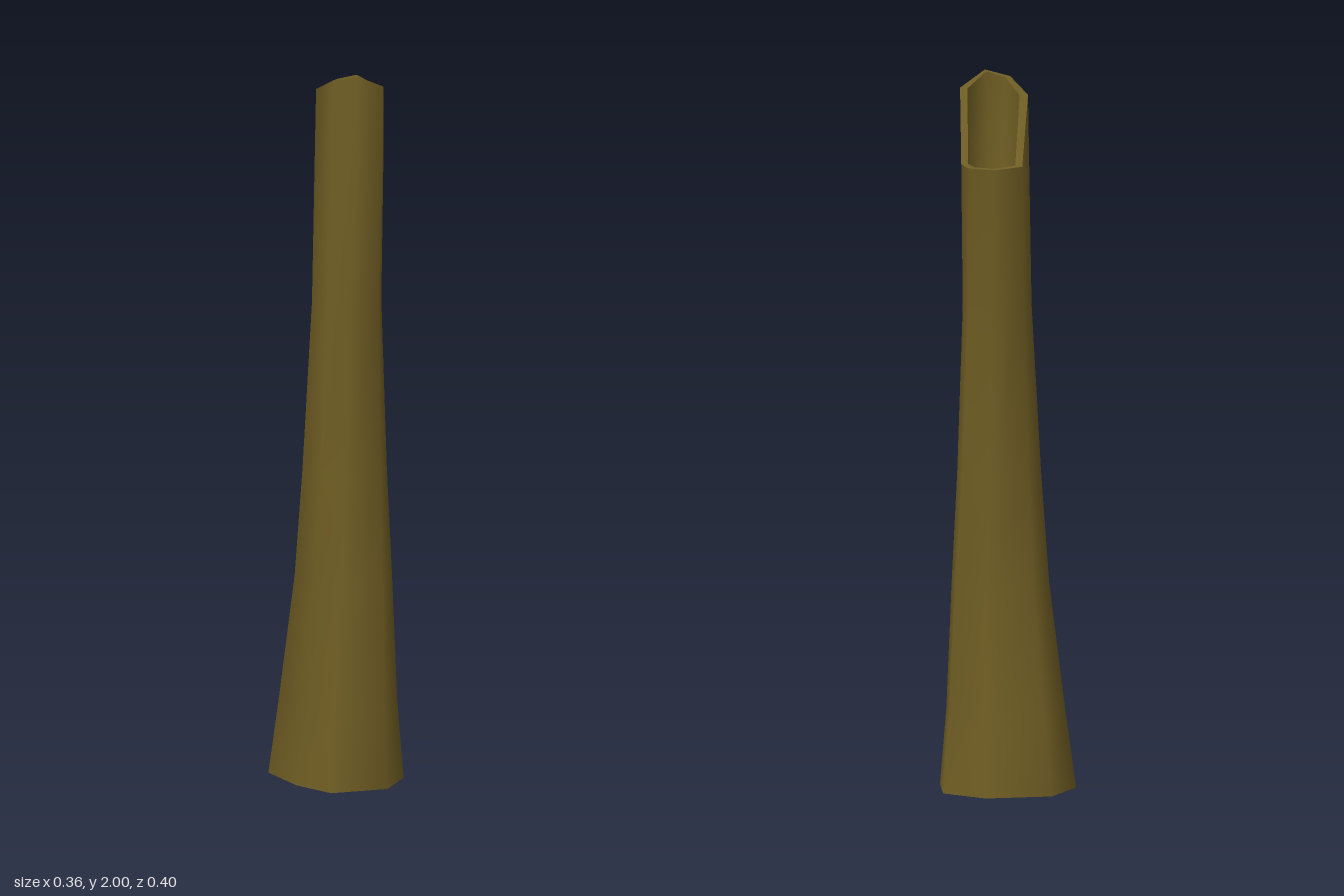
import * as THREE from 'three';

// Eight-sided cross-sections as [x, z]
const BASE = [[-0.03, -0.2], [0.13, -0.11], [0.18, 0.017], [0.11, 0.12], [0, 0.198], [-0.155, 0.148], [-0.18, 0.017], [-0.157, -0.147]];
const TIP = [[0, -0.107], [0.09, -0.097], [0.13, -0.035], [0.11, 0.025], [0.067, 0.085], [-0.02, 0.085], [-0.065, 0.03], [-0.065, -0.05]];
// Slanted, broken heights of the tip
const TIP_Y = [1.76, 1.76, 1.76, 1.76, 1.96, 2, 1.985, 1.945];
const TIP_CENTRE = [0.032, -0.011];

// Ring fitted to given x and z extents, its shape blended from base to tip
function ring(y, x0, x1, z0, z1, t) {
  return BASE.map(([bx, bz], i) => {
    const u = THREE.MathUtils.lerp(bx / 0.18, (TIP[i][0] - 0.032) / 0.0975, t);
    const v = THREE.MathUtils.lerp(bz / 0.2, (TIP[i][1] + 0.011) / 0.096, t);
    return [(x0 + x1) / 2 + u * (x1 - x0) / 2, y, (z0 + z1) / 2 + v * (z1 - z0) / 2];
  });
}

// Ring shrunk towards a centre, at a height given by a function of the index
function shrink(points, [cx, cz], s, height) {
  return points.map(([x, z], i) => [cx + (x - cx) * s, height(i), cz + (z - cz) * s]);
}

// Smooth skin through rings of equal point count
function loft(rings) {
  const n = BASE.length, index = [];
  for (let r = 0; r < rings.length - 1; r++) {
    for (let i = 0; i < n; i++) {
      const a = r * n + i, b = r * n + (i + 1) % n;
      index.push(a, a + n, b, b, a + n, b + n);
    }
  }
  const g = new THREE.BufferGeometry();
  g.setAttribute('position', new THREE.Float32BufferAttribute(rings.flat(2), 3));
  g.setIndex(index);
  g.computeVertexNormals();
  return g;
}

export function createModel() {
  const group = new THREE.Group();
  const bark = new THREE.MeshStandardMaterial({ color: 0x705e24 });
  bark.name = 'olive brown';
  const add = (name, rings) => {
    const mesh = new THREE.Mesh(loft(rings), bark);
    mesh.name = name;
    group.add(mesh);
  };

  const tipOuter = shrink(TIP, TIP_CENTRE, 1, i => TIP_Y[i]);
  const tipInner = shrink(TIP, TIP_CENTRE, 0.77, i => TIP_Y[i]);
  const baseOuter = shrink(BASE, [0, 0], 1, () => 0);
  const baseInner = shrink(BASE, [0, 0], 0.86, () => 0);

  // Tapering outer wall
  add('outerWall', [
    baseOuter,
    ring(0.22, -0.158, 0.158, -0.17, 0.178, 0.03),
    ring(0.57, -0.135, 0.136, -0.12, 0.157, 0.25),
    ring(0.88, -0.115, 0.121, -0.105, 0.135, 0.45),
    ring(1.35, -0.096, 0.104, -0.08, 0.112, 0.75),
    tipOuter,
  ]);

  // Broken rim and the hollow inside it
  add('tipRim', [tipOuter, tipInner]);
  add('tipHollow', [
    tipInner,
    shrink(TIP, TIP_CENTRE, 0.7, () => 1.5),
    shrink(TIP, TIP_CENTRE, 0, () => 1.47),
  ]);

  // Foot rim and the hollow beneath
  add('footRim', [baseInner, baseOuter]);
  add('footHollow', [
    shrink(BASE, [0, 0], 0, () => 0.17),
    shrink(BASE, [0, 0], 0.72, () => 0.15),
    baseInner,
  ]);
  return group;
}
